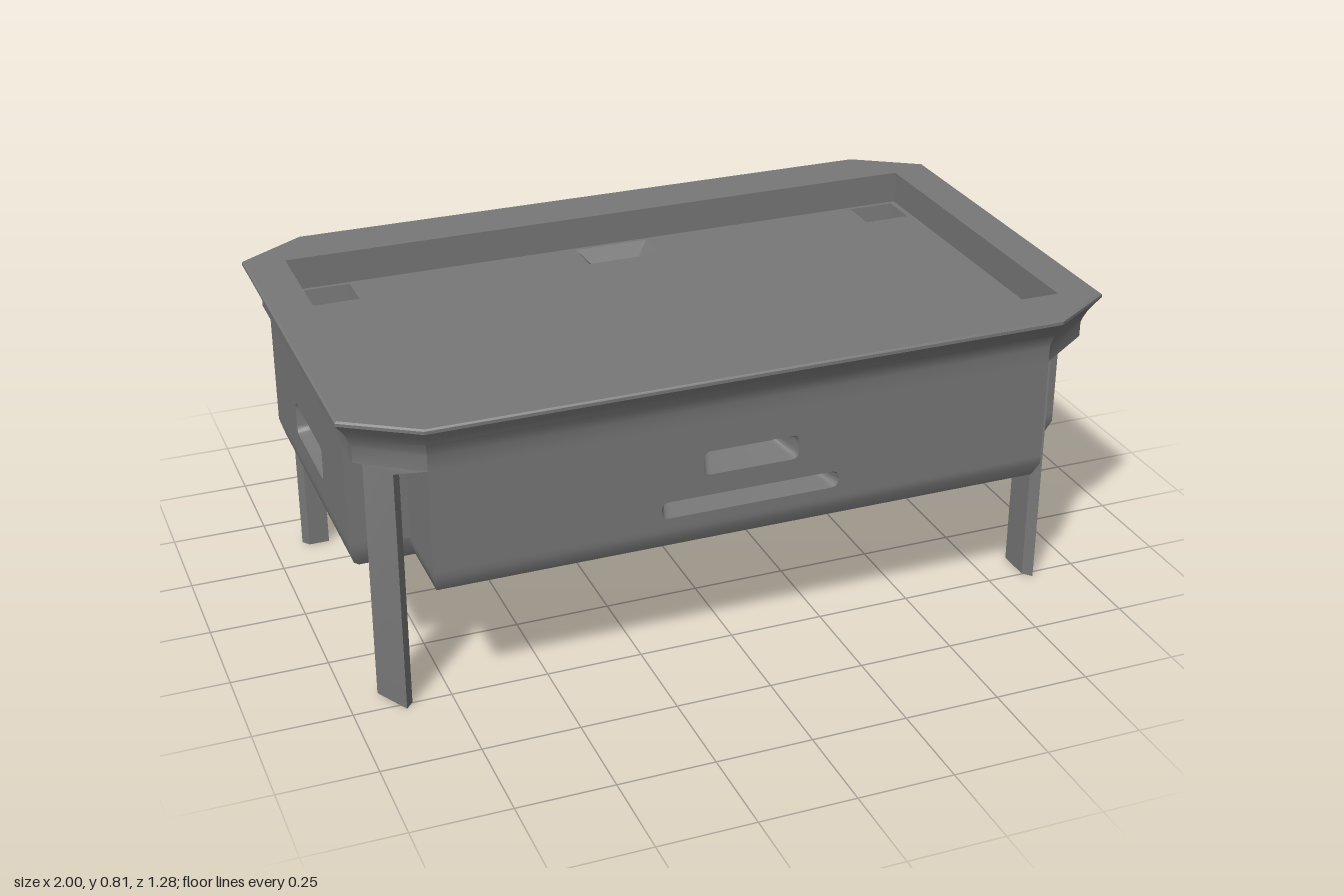
import * as THREE from 'three';
import { toCreasedNormals } from 'three/addons/utils/BufferGeometryUtils.js';

const material = new THREE.MeshStandardMaterial({ color: 0x777777 });

function addMesh(parent, geometry, name) {
  const mesh = new THREE.Mesh(geometry, material);
  mesh.name = name;
  parent.add(mesh);
  return mesh;
}

// Joins rings of [x, z] points, each at its own height, with optional end caps
function loft(rings, capFirst, capLast) {
  const pos = [];
  const at = ({ y, pts }, j) => {
    const [x, z] = pts[j % pts.length];
    return [x, y, z];
  };
  const centre = ({ y, pts }) => {
    const sum = pts.reduce((s, p) => [s[0] + p[0], s[1] + p[1]], [0, 0]);
    return [sum[0] / pts.length, y, sum[1] / pts.length];
  };
  const n = rings[0].pts.length;
  const last = rings[rings.length - 1];
  for (let j = 0; j < n; j++) {
    for (let i = 0; i + 1 < rings.length; i++) {
      const a = at(rings[i], j), b = at(rings[i], j + 1);
      const c = at(rings[i + 1], j), d = at(rings[i + 1], j + 1);
      pos.push(...a, ...c, ...b, ...b, ...c, ...d);
    }
    if (capFirst) pos.push(...centre(rings[0]), ...at(rings[0], j), ...at(rings[0], j + 1));
    if (capLast) pos.push(...centre(last), ...at(last, j + 1), ...at(last, j));
  }
  const g = new THREE.BufferGeometry();
  g.setAttribute('position', new THREE.Float32BufferAttribute(pos, 3));
  return toCreasedNormals(g, 0.55);
}

// Plan of the cabinet: a rectangle with a square notch at each corner
const cross = (ax, az, nx, nz) => [
  [ax, -nz], [ax, nz], [nx, nz], [nx, az], [-nx, az], [-nx, nz],
  [-ax, nz], [-ax, -nz], [-nx, -nz], [-nx, -az], [nx, -az], [nx, -nz],
];

// Plan of the rim: a rectangle with cut corners
const octagon = (ax, az, cx, cz) => [
  [ax, -cz], [ax, cz], [cx, az], [-cx, az], [-ax, cz], [-ax, -cz], [-cx, -az], [cx, -az],
];

const rect = (x, z, hx, hz) => [[x + hx, z - hz], [x + hx, z + hz], [x - hx, z + hz], [x - hx, z - hz]];

// Rounded slot outline
function slotPath(x, y, w, h, r) {
  const p = new THREE.Path();
  const l = x - w / 2, t = y + h / 2, rt = x + w / 2, b = y - h / 2;
  p.moveTo(l + r, b);
  p.lineTo(rt - r, b).quadraticCurveTo(rt, b, rt, b + r);
  p.lineTo(rt, t - r).quadraticCurveTo(rt, t, rt - r, t);
  p.lineTo(l + r, t).quadraticCurveTo(l, t, l, t - r);
  p.lineTo(l, b + r).quadraticCurveTo(l, b, l + r, b);
  return p;
}

const WALL = 0.08, WALL_BOTTOM = 0.42, WALL_TOP = 0.69;

// Upright wall with rounded slots, each lined by a recess that narrows inward
function addWall(parent, name, half, distance, angle, slots) {
  const wall = new THREE.Group();
  wall.name = name;
  const shape = new THREE.Shape(
    [[-half, WALL_BOTTOM], [half, WALL_BOTTOM], [half, WALL_TOP], [-half, WALL_TOP]]
      .map(([x, y]) => new THREE.Vector2(x, y)));
  for (const { x, y, w, h } of slots) {
    const path = slotPath(x, y, w, h, 0.02);
    shape.holes.push(path);
    const ring = (depth, kx, ky) => ({
      y: -depth,
      pts: path.getPoints(4).slice(1).reverse()
        .map((p) => [x + (p.x - x) * kx, -(y + (p.y - y) * ky)]),
    });
    const recess = loft([ring(0, 1, 1), ring(0.015, 0.97, 0.9), ring(0.075, 1 - 0.06 / w, 0.35)], false, true);
    recess.rotateX(Math.PI / 2);
    addMesh(wall, recess, 'slotRecess').position.z = distance;
  }
  const g = new THREE.ExtrudeGeometry(shape, { depth: WALL, bevelEnabled: false, curveSegments: 4 });
  addMesh(wall, toCreasedNormals(g, 0.5), 'panel').position.z = distance - WALL;
  wall.rotation.y = angle;
  parent.add(wall);
}

export function createModel() {
  const model = new THREE.Group();
  model.name = 'gameTable';
  const table = new THREE.Group();
  table.name = 'table';
  table.position.z = 0.028;
  model.add(table);

  const AX = 0.96, AZ = 0.58, NX = 0.81, NZ = 0.38;

  // Cabinet: core, rounded base and four slotted walls
  const core = cross(AX - WALL, AZ - WALL, NX, NZ);
  addMesh(table, loft([{ y: 0.41, pts: core }, { y: WALL_TOP, pts: core }], false, false), 'cabinetCore');
  addMesh(table, loft([
    { y: 0.35, pts: cross(AX - 0.025, AZ - 0.055, NX - 0.02, NZ - 0.02) },
    { y: 0.36, pts: cross(AX - 0.012, AZ - 0.02, NX - 0.012, NZ - 0.015) },
    { y: 0.4, pts: cross(AX, AZ, NX, NZ) },
    { y: WALL_BOTTOM, pts: cross(AX, AZ, NX, NZ) },
  ], true, false), 'cabinetBase');

  const sideSlot = [{ x: 0, y: 0.518, w: 0.28, h: 0.09 }];
  addWall(table, 'frontWall', NX, AZ, 0, [
    { x: 0, y: 0.578, w: 0.25, h: 0.065 },
    { x: 0, y: 0.468, w: 0.47, h: 0.045 },
  ]);
  addWall(table, 'backWall', NX, AZ, Math.PI, [
    { x: 0.03, y: 0.59, w: 0.2, h: 0.065 },
    { x: 0, y: 0.476, w: 0.5, h: 0.095 },
  ]);
  addWall(table, 'leftWall', NZ, AX, Math.PI / 2, sideSlot);
  addWall(table, 'rightWall', NZ, AX, -Math.PI / 2, sideSlot);

  // Flared rim, flat top and inner cushion wall
  const FLOOR = 0.727, IX = 0.893, IZ = 0.463;
  const outer = [[0.69, 0], [0.73, 0], [0.745, 0.005], [0.765, 0.014], [0.785, 0.027], [0.803, 0.04], [0.811, 0.04], [0.815, 0.035]];
  const rings = outer.map(([y, o]) => ({
    y, pts: octagon(AX + o, AZ + o * 0.85, NX + o * 0.3, 0.475 + o * 0.65),
  }));
  rings.push({ y: 0.815, pts: octagon(IX, IZ, IX, IZ) });
  rings.push({ y: FLOOR, pts: octagon(IX, IZ, IX, IZ) });
  addMesh(table, loft(rings, false, false), 'rim');

  // Playing surface with six sunken pockets
  const bed = new THREE.Shape(rect(0, 0, IX, IZ).map(([x, z]) => new THREE.Vector2(x, -z)));
  const pockets = [
    [-0.792, -0.398], [0.016, -0.398], [0.813, -0.398],
    [-0.81, 0.388], [0, 0.38], [0.813, 0.37],
  ];
  for (const [x, z] of pockets) {
    const corner = Math.abs(x) > 0.5;
    const top = rect(x, z, corner ? 0.064 : 0.103, 0.053);
    const bottom = corner ? rect(x, z, 0.056, 0.046) : rect(x, z, 0.06, 0.016);
    bed.holes.push(new THREE.Path(top.map(([px, pz]) => new THREE.Vector2(px, -pz))));
    addMesh(table, loft([{ y: FLOOR, pts: top }, { y: 0.68, pts: bottom }], false, true),
      corner ? 'cornerPocket' : 'middlePocket');
  }
  const bedGeometry = new THREE.ShapeGeometry(bed);
  bedGeometry.rotateX(-Math.PI / 2);
  addMesh(table, bedGeometry, 'playingSurface').position.y = FLOOR;

  // Corner legs, spreading at the top to fill the notch ceiling
  const legPlan = [[0.85, 0.38], [0.905, 0.38], [0.92, 0.4], [0.87, 0.493], [0.85, 0.47]];
  const capPlan = [[NX, NZ], [AX, NZ], [AX, 0.475], [NX, AZ], [NX, AZ]];
  for (const sx of [-1, 1]) {
    for (const sz of [-1, 1]) {
      const place = (plan) => {
        const pts = plan.map(([x, z]) => [x * sx, z * sz]);
        return sx * sz < 0 ? pts.reverse() : pts;
      };
      addMesh(table, loft([
        { y: 0, pts: place(legPlan) },
        { y: 0.65, pts: place(legPlan) },
        { y: 0.69, pts: place(capPlan) },
      ], true, false), 'leg');
    }
  }

  // Coin slide at the back
  addMesh(model, new THREE.BoxGeometry(0.05, 0.013, 0.09), 'coinSlide').position.set(0.205, 0.582, -0.595);
  addMesh(model, new THREE.BoxGeometry(0.05, 0.02, 0.025), 'coinSlideGrip').position.set(0.205, 0.582, -0.627);

  return model;
}
